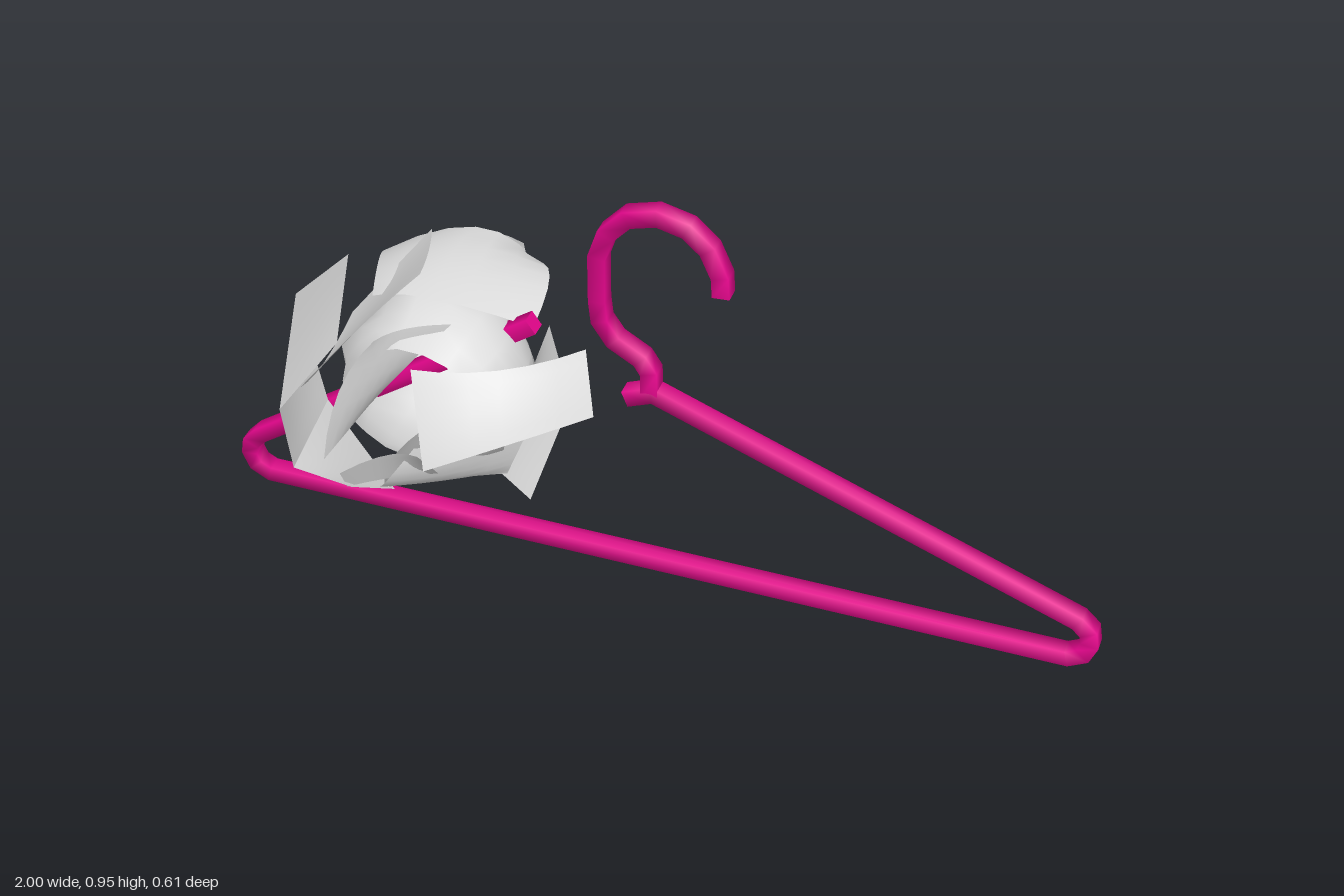
import * as THREE from 'three';

const pink = new THREE.MeshStandardMaterial({ color: 0xe4068c });
pink.name = 'pink plastic';
const paper = new THREE.MeshStandardMaterial({ color: 0xdcdcdc, side: THREE.DoubleSide });
paper.name = 'grey paper';

function finish(name, pos, idx, material) {
  const g = new THREE.BufferGeometry();
  g.setAttribute('position', new THREE.Float32BufferAttribute(pos, 3));
  g.setIndex(idx);
  g.computeVertexNormals();
  const mesh = new THREE.Mesh(g, material);
  mesh.name = name;
  return mesh;
}

// Square rod with soft normals, swept along a flat xy path with mitred bends and capped ends
function rod(name, path, half = 0.019, z = -0.029) {
  const pos = [], idx = [], sides = 4;
  const pts = path.map(p => new THREE.Vector2(...p));
  const last = pts.length - 1;
  pts.forEach((p, i) => {
    const before = p.clone().sub(pts[Math.max(i - 1, 0)]).normalize();
    const after = pts[Math.min(i + 1, last)].clone().sub(p).normalize();
    const t = before.clone().add(after).normalize();
    const widen = 1 / Math.max(0.6, t.dot(i === last ? before : after));
    for (const [u, w] of [[1, -1], [1, 1], [-1, 1], [-1, -1]]) {
      const c = u * half * widen;
      pos.push(p.x - t.y * c, p.y + t.x * c, z + w * half);
    }
  });
  for (let i = 0; i < last; i++) {
    for (let j = 0; j < sides; j++) {
      const k = (j + 1) % sides, a = i * sides, b = a + sides;
      idx.push(a + j, a + k, b + k, a + j, b + k, b + j);
    }
  }
  // End caps with their own vertices
  for (const end of [0, last]) {
    const b = pos.length / 3;
    pos.push(...pos.slice(end * sides * 3, (end + 1) * sides * 3));
    if (end === 0) idx.push(b, b + 2, b + 1, b, b + 3, b + 2);
    else idx.push(b, b + 1, b + 2, b, b + 2, b + 3);
  }
  return finish(name, pos, idx, pink);
}

// Blend two or three points: a straight edge or a smooth bend
function blend(list, t) {
  const w = list.length === 2 ? [1 - t, t]
    : [(1 - t) * (1 - 2 * t), 4 * t * (1 - t), t * (2 * t - 1)];
  return [0, 1, 2].map(k => list.reduce((s, p, i) => s + p[k] * w[i], 0));
}

// Curved sheet through rows of points
function sheet(name, rows, n = 6) {
  const pos = [], idx = [];
  for (let i = 0; i <= n; i++) {
    for (let j = 0; j <= n; j++) {
      pos.push(...blend(rows.map(r => blend(r, j / n)), i / n));
      if (i < n && j < n) {
        const a = i * (n + 1) + j, b = a + n + 1;
        idx.push(a, b, a + 1, a + 1, b, b + 1);
      }
    }
  }
  return finish(name, pos, idx, paper);
}

// Lumpy hollow ball with a round opening at the front
function crumpledShell() {
  const g = new THREE.SphereGeometry(1, 18, 10, 0, Math.PI * 2, 0, Math.PI * 0.74);
  g.rotateX(-Math.PI / 2);
  const p = g.attributes.position, v = new THREE.Vector3();
  for (let i = 0; i < p.count; i++) {
    v.fromBufferAttribute(p, i);
    v.multiplyScalar(1 + 0.05 * Math.sin(v.x * 6 + v.y * 4) + 0.04 * Math.sin(v.y * 7 - v.z * 5));
    p.setXYZ(i, -0.48 + v.x * 0.21, 0.44 + v.y * 0.2, v.z * 0.2);
  }
  g.computeVertexNormals();
  const mesh = new THREE.Mesh(g, paper);
  mesh.name = 'paperBall';
  return mesh;
}

export function createModel() {
  const model = new THREE.Group();
  model.name = 'brokenHangerWithPaper';

  // Hanger: snapped left arm, bottom bar, right arm and short stub
  const hanger = new THREE.Group();
  hanger.name = 'hanger';
  hanger.add(rod('hangerFrame', [
    [-0.27, 0.6], [-0.95, 0.128], [-0.976, 0.1], [-0.981, 0.07], [-0.968, 0.038], [-0.935, 0.02],
    [0.935, 0.02], [0.968, 0.038], [0.981, 0.07], [0.976, 0.1], [0.95, 0.125],
    [0.0, 0.486], [-0.06, 0.462],
  ]));
  hanger.add(rod('hook', [
    [-0.005, 0.475], [-0.006, 0.54], [-0.025, 0.57], [-0.085, 0.605], [-0.115, 0.65], [-0.12, 0.7],
    [-0.12, 0.81], [-0.1, 0.87], [-0.055, 0.918], [0.01, 0.936], [0.075, 0.92],
    [0.12, 0.88], [0.147, 0.82], [0.15, 0.773],
  ]));
  model.add(hanger);

  // Crumpled paper: hollow ball with folded sheets around it
  const wad = new THREE.Group();
  wad.name = 'crumpledPaper';
  wad.add(crumpledShell());
  const sheets = {
    leftFlapUpper: [
      [[-0.71, 0.655, -0.06], [-0.62, 0.62, 0.2]],
      [[-0.88, 0.47, -0.12], [-0.717, 0.49, 0.297]]],
    leftFlapLower: [
      [[-0.88, 0.47, -0.12], [-0.717, 0.49, 0.297]],
      [[-0.76, 0.29, 0], [-0.7, 0.335, 0.293]]],
    lowerLeftSpike: [
      [[-0.76, 0.29, 0], [-0.7, 0.335, 0.293]],
      [[-0.58, 0.13, 0.063], [-0.6, 0.26, 0.23]]],
    topSpike: [
      [[-0.46, 0.775, 0.114], [-0.5, 0.737, -0.02], [-0.55, 0.7, -0.15]],
      [[-0.57, 0.66, 0.17], [-0.58, 0.645, 0.06], [-0.6, 0.645, -0.08]],
      [[-0.69, 0.52, 0.25], [-0.68, 0.52, 0.15], [-0.68, 0.55, 0]]],
    innerFold: [
      [[-0.42, 0.62, 0.06], [-0.5, 0.63, 0.12], [-0.55, 0.62, 0.17]],
      [[-0.5, 0.53, 0.1], [-0.55, 0.52, 0.15], [-0.62, 0.5, 0.21]],
      [[-0.6, 0.4, 0.12], [-0.63, 0.36, 0.18], [-0.66, 0.32, 0.23]]],
    rightFlap: [
      [[-0.13, 0.605, 0.03], [-0.29, 0.58, 0.13], [-0.45, 0.6, 0.21]],
      [[-0.06, 0.55, 0.174], [-0.24, 0.47, 0.235], [-0.4, 0.4, 0.286]]],
    topCap: [
      [[-0.7, 0.57, -0.21], [-0.66, 0.62, -0.1], [-0.62, 0.62, 0.02]],
      [[-0.5, 0.64, -0.27], [-0.5, 0.655, -0.13], [-0.48, 0.645, 0.02]],
      [[-0.37, 0.56, -0.29], [-0.3, 0.6, -0.2], [-0.28, 0.57, -0.05]]],
    backFlap: [
      [[-0.62, 0.61, -0.24], [-0.5, 0.63, -0.275], [-0.4, 0.6, -0.3]],
      [[-0.58, 0.51, -0.22], [-0.48, 0.52, -0.26], [-0.39, 0.525, -0.3]],
      [[-0.55, 0.42, -0.2], [-0.45, 0.44, -0.2], [-0.33, 0.47, -0.19]]],
    lowerRightSpike: [
      [[-0.27, 0.28, -0.295], [-0.25, 0.32, -0.15], [-0.21, 0.345, -0.02]],
      [[-0.28, 0.275, -0.29], [-0.29, 0.24, -0.14], [-0.267, 0.16, 0.03]]],
    lowerRightFace: [
      [[-0.21, 0.345, -0.02], [-0.32, 0.33, 0.02]],
      [[-0.267, 0.16, 0.03], [-0.35, 0.23, 0.03]]],
    lowerFrontSpike: [
      [[-0.5, 0.36, 0.2], [-0.45, 0.39, 0.12], [-0.4, 0.36, 0.01]],
      [[-0.55, 0.25, 0.17], [-0.5, 0.26, 0.09], [-0.44, 0.26, 0]],
      [[-0.58, 0.15, 0.08], [-0.56, 0.16, 0.05], [-0.5, 0.21, -0.01]]],
    lowerFrontFold: [
      [[-0.46, 0.38, 0.2], [-0.36, 0.37, 0.12], [-0.27, 0.35, 0.01]],
      [[-0.52, 0.29, 0.22], [-0.42, 0.28, 0.15], [-0.3, 0.27, 0.03]],
      [[-0.56, 0.23, 0.17], [-0.43, 0.23, 0.1], [-0.32, 0.22, 0.03]]],
    lowerFrontFlap: [
      [[-0.62, 0.3, 0.24], [-0.5, 0.37, 0.22], [-0.4, 0.41, 0.27]],
      [[-0.62, 0.24, 0.21], [-0.52, 0.27, 0.18], [-0.42, 0.3, 0.17]]],
    backRightScrap: [
      [[-0.3, 0.475, -0.19], [-0.31, 0.42, -0.13]],
      [[-0.29, 0.345, -0.225], [-0.33, 0.36, -0.14]]],
  };
  for (const [name, rows] of Object.entries(sheets)) wad.add(sheet(name, rows));
  model.add(wad);
  return model;
}
